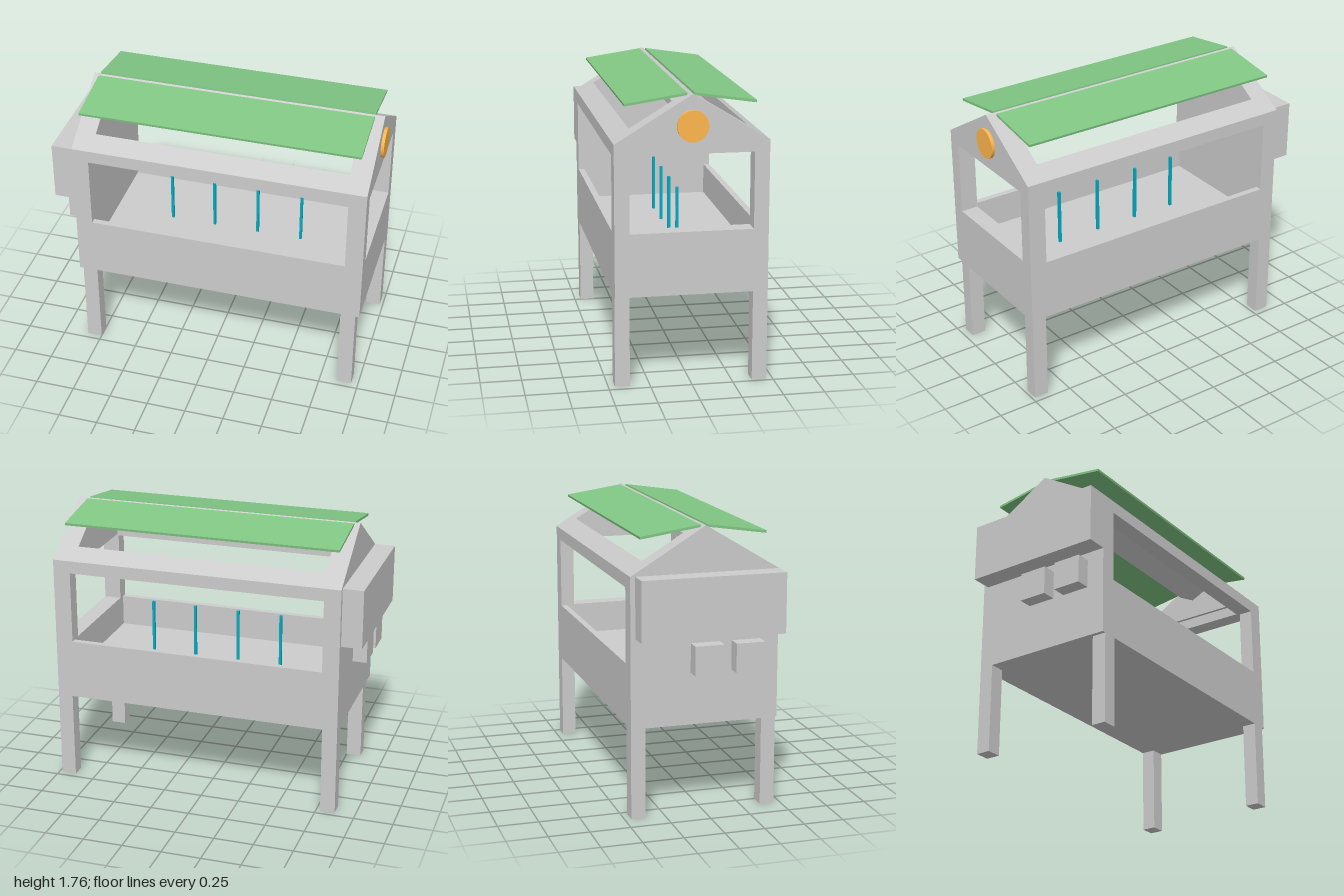
import * as THREE from 'three';

const grey = new THREE.MeshStandardMaterial({ color: 0xcccccc });
const green = new THREE.MeshStandardMaterial({ color: 0x81c784 });
const teal = new THREE.MeshStandardMaterial({ color: 0x00acc1 });
const amber = new THREE.MeshStandardMaterial({ color: 0xffb74d });

// Inner and outer faces of the two end walls, and the half depth of the house
const X0 = -0.87, X1 = 0.98, IN0 = -0.765, IN1 = 0.87, D = 0.46;
const FLOOR = 0.74, SILL = 0.94, LINTEL = 1.4, EAVE = 1.48, RIDGE = 1.76;

export function createModel() {
  const model = new THREE.Group();

  const add = (name, geometry, material = grey) => {
    const mesh = new THREE.Mesh(geometry, material);
    mesh.name = name;
    model.add(mesh);
    return mesh;
  };

  // Box given by its limits on each axis
  const box = (name, [xa, xb], [ya, yb], [za, zb], material) => {
    const mesh = add(name, new THREE.BoxGeometry(xb - xa, yb - ya, zb - za), material);
    mesh.position.set((xa + xb) / 2, (ya + yb) / 2, (za + zb) / 2);
    return mesh;
  };

  // Outline of [z, y] points carried along x from xa to xb
  const profile = (name, points, xa, xb, hole) => {
    const toVectors = (list) => list.map(([z, y]) => new THREE.Vector2(z, y));
    const shape = new THREE.Shape(toVectors(points));
    if (hole) shape.holes.push(new THREE.Path(toVectors(hole)));
    const geometry = new THREE.ExtrudeGeometry(shape, { depth: xb - xa, bevelEnabled: false });
    geometry.rotateY(-Math.PI / 2).translate(xb, 0, 0);
    return add(name, geometry);
  };

  // End walls with gables; the left-hand one of the pair is solid, the other has a window
  const house = [[-D, 0.56], [D, 0.56], [D, EAVE], [0, RIDGE], [-D, EAVE]];
  const windowHole = [[-0.37, 0.945], [-0.37, 1.41], [0.37, 1.41], [0.37, 0.945]];
  profile('solidEndWall', house, X0, IN0);
  profile('windowEndWall', house, IN1, X1, windowHole);

  // Gable rims that narrow the roof openings slightly
  const rim = [[-D, EAVE], [D, EAVE], [0, RIDGE]];
  profile('gableRim', rim, IN0, -0.745);
  profile('gableRim', rim, 0.85, IN1);

  // Floor and ridge beam
  box('floor', [IN0, IN1], [0.56, FLOOR], [-0.42, 0.42]);
  profile('ridgeBeam', [[0, 1.61], [0.1, 1.66], [0.1, 1.699], [0, RIDGE], [-0.1, 1.699], [-0.1, 1.66]], IN0, IN1);

  for (const s of [1, -1]) {
    // Low side wall and the eave beam above its wide opening
    box('sideWall', [IN0, IN1], [0.56, SILL], s > 0 ? [0.42, D] : [-D, -0.42]);
    profile('eaveBeam', [[s * D, LINTEL], [s * D, EAVE], [s * 0.353, 1.545], [s * 0.353, LINTEL]], IN0, IN1);

    // Raised roof panel
    const panel = add('roofPanel', new THREE.BoxGeometry(1.755, 0.015, 0.374), green);
    panel.position.set(0.0425, 1.724, s * 0.205);
    panel.rotation.x = s * 0.148;

    // Legs; the front pair stands slightly inside the ends
    const inset = s > 0 ? 0.025 : 0;
    const z = s > 0 ? [0.37, D] : [-D, -0.37];
    box('leg', [X0 + inset, X0 + inset + 0.095], [0, 0.56], z);
    box('leg', [X1 - inset - 0.095, X1 - inset], [0, 0.56], z);
  }

  // Large box and two small boxes on the solid end
  box('nestBox', [-1, X0], [1.11, EAVE], [-0.43, D]);
  for (const z of [0, 0.256]) box('smallBox', [-0.96, X0], [0.88, 1.06], [z - 0.09, z + 0.09]);

  // Upright rods along the middle of the floor
  for (const x of [-0.375, -0.09, 0.2, 0.487]) {
    box('rod', [x - 0.008, x + 0.008], [FLOOR, 1.095], [-0.009, 0.009], teal);
  }

  // Round disc on the gable
  const disc = add('gableDisc', new THREE.CylinderGeometry(0.093, 0.093, 0.02, 40), amber);
  disc.rotation.z = -Math.PI / 2;
  disc.position.set(0.99, 1.575, 0);

  return model;
}
